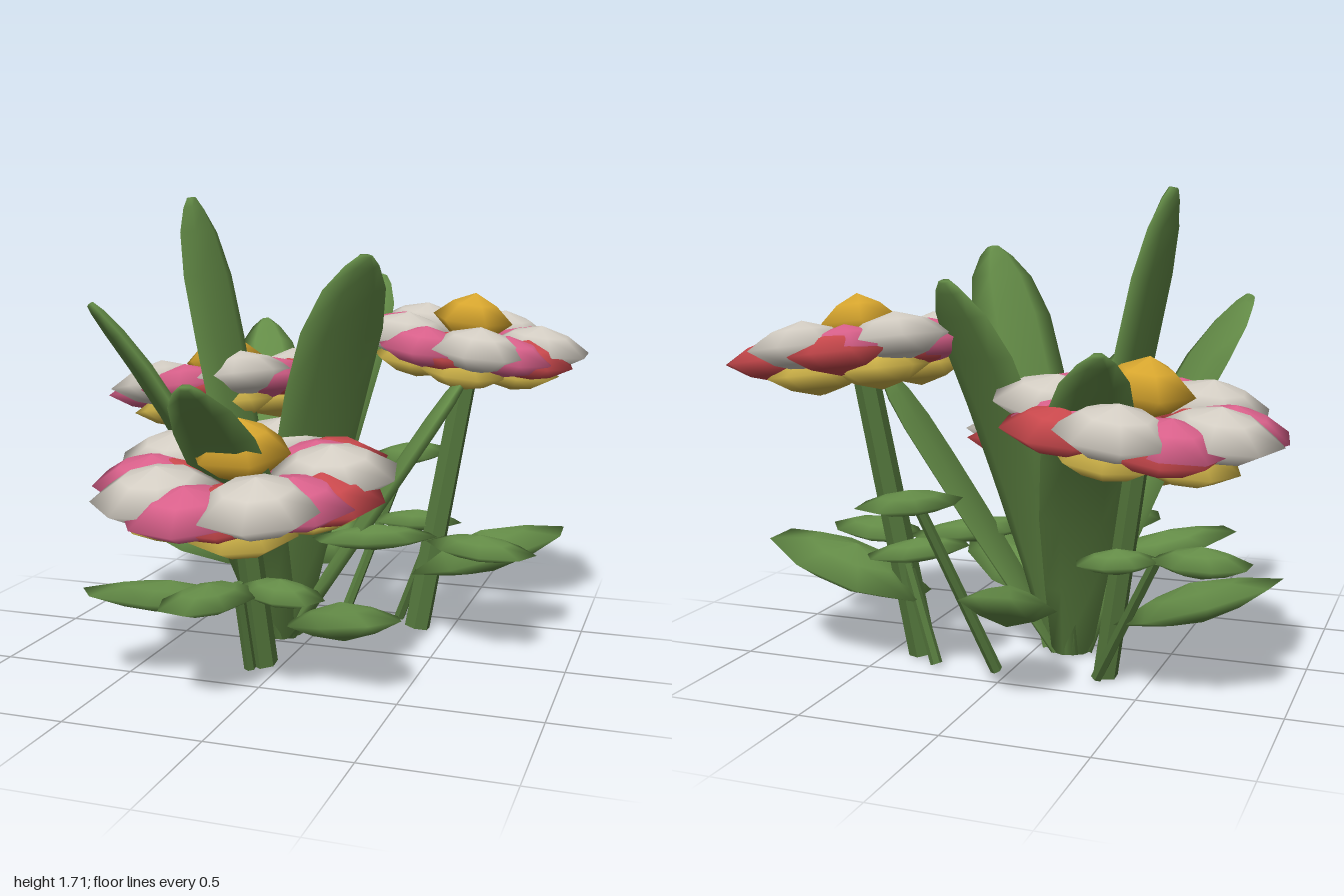
import * as THREE from 'three';
import { toCreasedNormals } from 'three/addons/utils/BufferGeometryUtils.js';

const mat = (name, color) => {
  const m = new THREE.MeshStandardMaterial({ color });
  m.name = name;
  return m;
};
const V = (a) => new THREE.Vector3(...a);
const UP = new THREE.Vector3(0, 1, 0);

// Smooth flat lens: radius 1, height 1 each way
function lens(sides, shoulder) {
  const pts = [[0, -1], [0.55, -shoulder], [1, 0], [0.55, shoulder], [0, 1]];
  return new THREE.LatheGeometry(pts.map((p) => new THREE.Vector2(...p)), sides, Math.PI / sides);
}

// Blade swept along a bent path, widest near its rounded tip
function bladeGeometry(base, tip, width, thick, bend) {
  const ctrl = new THREE.Vector3(
    base.x + (tip.x - base.x) * bend, base.y + (tip.y - base.y) * 0.62, base.z + (tip.z - base.z) * bend);
  const curve = new THREE.QuadraticBezierCurve3(base, ctrl, tip);
  const side = new THREE.Vector3(tip.x - base.x, 0, tip.z - base.z).normalize().cross(UP);
  const profile = [[0, 0.5], [0.2, 0.74], [0.42, 0.95], [0.62, 1], [0.78, 0.97], [0.9, 0.74], [0.97, 0.4], [1, 0.16]];
  const n = 6, pos = [], idx = [];
  for (const [t, k] of profile) {
    const p = curve.getPoint(t);
    const normal = curve.getTangent(t).cross(side).normalize();
    for (let j = 0; j < n; j++) {
      const a = (j / n) * Math.PI * 2;
      const q = p.clone().addScaledVector(side, Math.cos(a) * width * k / 2)
        .addScaledVector(normal, Math.sin(a) * thick * Math.sqrt(k));
      pos.push(q.x, q.y, q.z);
    }
  }
  for (let i = 0; i < profile.length - 1; i++) {
    for (let j = 0; j < n; j++) {
      const a = i * n + j, b = i * n + (j + 1) % n;
      idx.push(a, b, b + n, a, b + n, a + n);
    }
  }
  // End caps
  const last = (profile.length - 1) * n;
  for (let j = 1; j < n - 1; j++) idx.push(0, j + 1, j, last, last + j, last + j + 1);
  const g = new THREE.BufferGeometry();
  g.setAttribute('position', new THREE.Float32BufferAttribute(pos, 3));
  g.setIndex(idx);
  g.computeVertexNormals();
  return g;
}

export function createModel() {
  const model = new THREE.Group();
  const green = mat('leaf green', 0x648c47);
  const darkGreen = mat('stem green', 0x54773c);
  const white = mat('petal white', 0xd2ccc2);
  const pink = mat('petal pink', 0xd8608a);
  const red = mat('petal red', 0xc8484c);
  const yellow = mat('petal yellow', 0xd2b64a);
  const gold = mat('flower centre gold', 0xd6a52e);

  const add = (parent, name, geometry, material) => {
    const m = new THREE.Mesh(geometry, material);
    m.name = name;
    parent.add(m);
    return m;
  };

  // Tall blades fanning out from the middle: tip, width, bend
  const root = V([-0.13, 0, -0.08]);
  const blades = [
    [[-0.52, 1.7, -0.15], 0.35, 0.5],
    [[-0.7, 1.31, 0.36], 0.37, 0.36],
    [[0.31, 1.49, 0.26], 0.37, 0.36],
    [[0.12, 1.39, -0.65], 0.33, 0.36],
    [[-0.13, 1.08, 0.8], 0.31, 0.34],
    [[-0.46, 1.18, -0.82], 0.3, 0.36],
    [[0.57, 1.03, -0.2], 0.33, 0.6],
  ];
  for (const [tip, width, bend] of blades) {
    const end = V(tip);
    const out = new THREE.Vector3(end.x - root.x, 0, end.z - root.z).normalize();
    add(model, 'tallLeaf', bladeGeometry(root.clone().addScaledVector(out, 0.05), end, width, 0.035, bend), green);
  }

  // Stems: base, top, radius
  const stems = [
    [[-0.06, 0, 0.28], [-0.1, 0.66, 0.4], 0.05],
    [[-0.34, 0, -0.32], [-0.49, 0.9, -0.42], 0.045],
    [[0.37, 0, -0.32], [0.54, 1.08, -0.42], 0.052],
    [[0.27, 0, -0.42], [0.43, 0.42, -0.36], 0.022],
    [[0.04, 0, -0.41], [0.24, 0.64, -0.63], 0.022],
    [[-0.32, 0, -0.36], [-0.57, 0.48, -0.52], 0.022],
    [[-0.09, 0, 0.35], [-0.1, 0.34, 0.44], 0.022],
  ];
  for (const [a, b, r] of stems) {
    const from = V(a), dir = V(b).sub(from);
    const g = new THREE.CylinderGeometry(r * 0.9, r, dir.length(), 6);
    const s = add(model, 'stem', toCreasedNormals(g, 0.5), darkGreen);
    s.position.copy(from).addScaledVector(dir, 0.5);
    s.quaternion.setFromUnitVectors(UP, dir.normalize());
  }

  // Low lens-shaped leaves: inner end, outer end, width, half thickness
  const leafGeo = lens(8, 0.6);
  const leaves = [
    [[0.33, 0.22, -0.35], [0.95, 0.43, -0.38], 0.44, 0.085],
    [[0.02, 0.12, 0.1], [0.48, 0.28, 0.54], 0.34, 0.07],
    [[-0.38, 0.2, -0.32], [-0.97, 0.42, -0.42], 0.4, 0.07],
    [[-0.1, 0.23, 0.28], [-0.6, 0.33, 0.68], 0.3, 0.06],
    [[-0.05, 0.2, -0.36], [-0.13, 0.42, -0.89], 0.32, 0.07],
    [[0.45, 0.4, -0.2], [0.87, 0.4, 0], 0.28, 0.05],
    [[-0.08, 0.33, 0.4], [-0.18, 0.34, 0.86], 0.28, 0.055],
    [[-0.1, 0.33, 0.38], [0.24, 0.33, 0.56], 0.24, 0.05],
    [[0.06, 0.43, 0.1], [0.47, 0.41, -0.22], 0.22, 0.05],
    [[0.17, 0.64, -0.46], [0.33, 0.65, -0.86], 0.28, 0.045],
    [[0.18, 0.43, -0.3], [0.5, 0.4, -0.52], 0.22, 0.045],
    [[-0.54, 0.48, -0.48], [-0.89, 0.48, -0.5], 0.24, 0.055],
    [[-0.58, 0.48, -0.5], [-0.31, 0.47, -0.6], 0.2, 0.045],
  ];
  for (const [a, b, width, thick] of leaves) {
    const from = V(a), dir = V(b).sub(from), length = dir.length();
    dir.normalize();
    const side = dir.clone().cross(UP).normalize();
    const leaf = add(model, 'lowLeaf', leafGeo, green);
    leaf.quaternion.setFromRotationMatrix(new THREE.Matrix4().makeBasis(dir, side.clone().cross(dir), side));
    leaf.position.copy(from).addScaledVector(dir, length / 2);
    leaf.scale.set(length / 2, thick, width / 2);
  }

  // Petal layers: name, material, turn, distance, layer offset, half length, half width, half thickness
  const petalGeo = lens(8, 0.64), centreGeo = lens(6, 0.6);
  const layers = [
    ['whitePetal', white, 0, 0.29, [0, 0, 0], 0.215, 0.21, 0.095],
    ['pinkPetal', pink, 42, 0.28, [-0.015, -0.02, 0.015], 0.2, 0.2, 0.085],
    ['redPetal', red, 34, 0.275, [0.035, -0.035, -0.035], 0.2, 0.195, 0.085],
    ['yellowPetal', yellow, 10, 0.21, [0, -0.105, 0], 0.19, 0.18, 0.08],
  ];
  const flowers = [
    ['frontFlower', [-0.09, 0.73, 0.41], [0, 1, 0.18], -12, 1.1],
    ['leftFlower', [-0.495, 0.96, -0.43], [-0.15, 1, -0.1], -17, 1.01],
    ['rightFlower', [0.54, 1.16, -0.43], [0.13, 1, 0.06], 0, 0.93],
  ];
  for (const [name, at, normal, phase, size] of flowers) {
    const flower = new THREE.Group();
    flower.name = name;
    flower.position.set(...at);
    flower.quaternion.setFromUnitVectors(UP, V(normal).normalize());
    flower.scale.setScalar(size);
    for (const [part, material, turn, dist, offset, l, w, h] of layers) {
      for (let i = 0; i < 5; i++) {
        const a = THREE.MathUtils.degToRad(phase + turn + i * 72);
        const petal = add(flower, part, petalGeo, material);
        petal.position.set(Math.cos(a) * dist, 0, Math.sin(a) * dist).add(V(offset));
        petal.rotation.y = -a;
        petal.scale.set(l, h, w);
      }
    }
    const centre = add(flower, 'flowerCentre', centreGeo, gold);
    centre.position.y = 0.08;
    centre.scale.set(0.17, 0.11, 0.17);
    model.add(flower);
  }
  return model;
}
